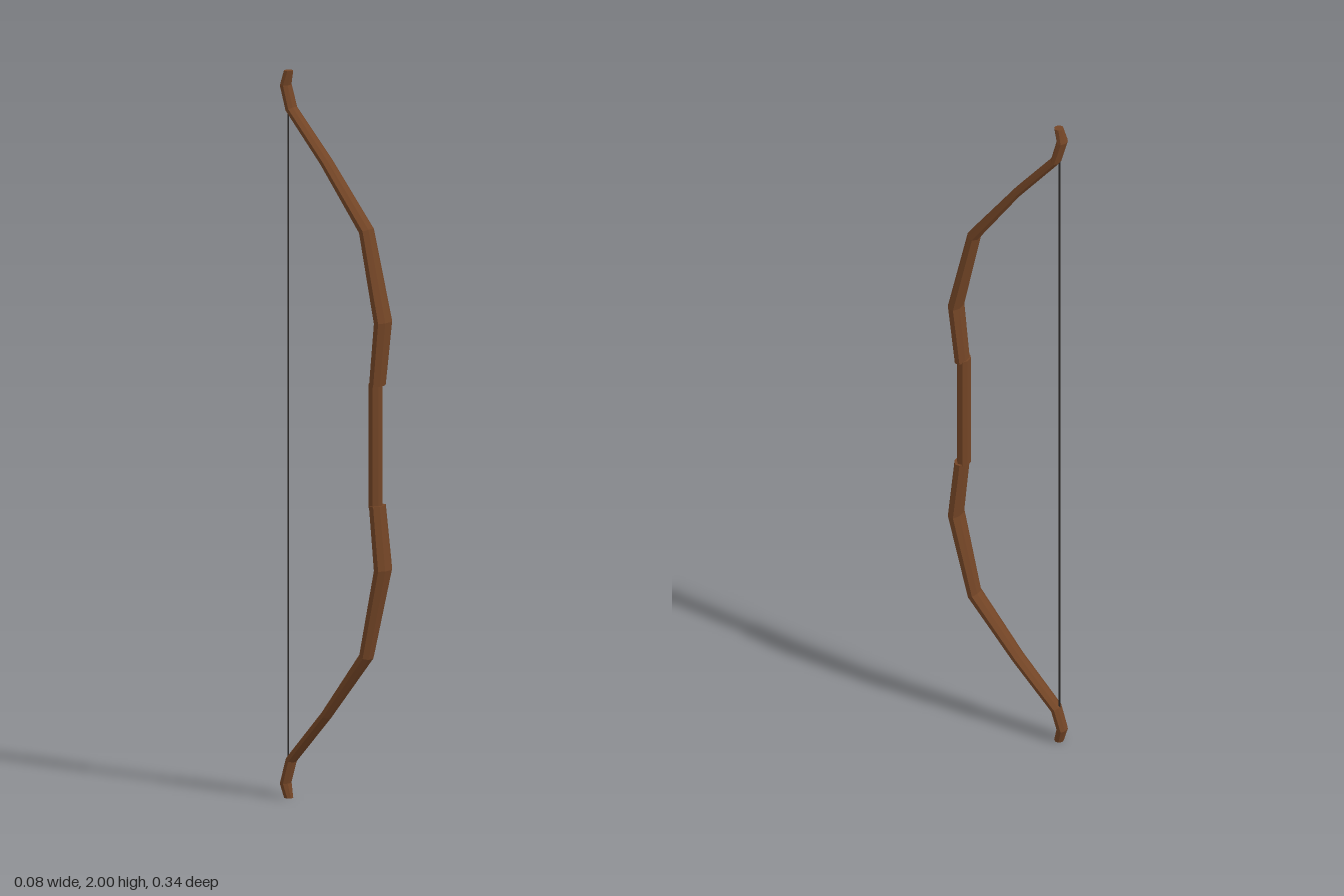
import * as THREE from 'three';

const SIDES = 8;
const wood = new THREE.MeshStandardMaterial({ color: 0x734526, flatShading: true });
const cord = new THREE.MeshStandardMaterial({ color: 0x2a2826 });

// Skins octagonal sections [x, y, z, halfWidth, halfDepth] along a path in the yz plane.
function loft(sections) {
  const pos = [], idx = [], n = sections.length;
  const k = 1 / Math.cos(Math.PI / SIDES);
  sections.forEach(([x, y, z, hw, hd], i) => {
    // Average of the neighbouring directions gives a mitred section; end sections lie flat
    const a = sections[Math.max(i - 1, 0)], b = sections[Math.min(i + 1, n - 1)];
    const end = i === 0 || i === n - 1;
    const dir = (p, q) => new THREE.Vector2(q[1] - p[1], q[2] - p[2]).normalize();
    const t = end ? new THREE.Vector2(1, 0)
      : dir(a, sections[i]).add(dir(sections[i], b)).normalize();
    for (let s = 0; s < SIDES; s++) {
      const ang = (s + 0.5) / SIDES * Math.PI * 2;
      const u = Math.sin(ang) * hw * k, v = Math.cos(ang) * hd * k;
      pos.push(x + u, y - t.y * v, z + t.x * v);
    }
  });
  for (let i = 0; i < n - 1; i++) {
    for (let s = 0; s < SIDES; s++) {
      const a = i * SIDES + s, b = i * SIDES + (s + 1) % SIDES;
      idx.push(a, b, b + SIDES, a, b + SIDES, a + SIDES);
    }
  }
  // End caps
  const last = (n - 1) * SIDES;
  for (let s = 1; s < SIDES - 1; s++) {
    idx.push(0, s + 1, s, last, last + s, last + s + 1);
  }
  const g = new THREE.BufferGeometry();
  g.setAttribute('position', new THREE.Float32BufferAttribute(pos, 3));
  g.setIndex(idx);
  const flat = g.toNonIndexed();
  flat.computeVertexNormals();
  return flat;
}

// Upper limb from the grip out to the recurved tip
const LIMB = [
  [0.004, 1.165, 0.136, 0.028, 0.017],
  [0.007, 1.34, 0.153, 0.031, 0.0175],
  [0.005, 1.585, 0.098, 0.025, 0.016],
  [-0.007, 1.76, -0.029, 0.022, 0.012],
  [-0.016, 1.895, -0.142, 0.020, 0.012],
  [-0.019, 1.96, -0.159, 0.019, 0.013],
  [-0.019, 2.0, -0.149, 0.012, 0.012],
];

export function createModel() {
  const model = new THREE.Group();
  model.name = 'bow';
  const add = (name, geometry, material) => {
    const mesh = new THREE.Mesh(geometry, material);
    mesh.name = name;
    model.add(mesh);
    return mesh;
  };

  // Limbs: the lower one is the upper one reflected about mid height
  add('upperLimb', loft(LIMB), wood);
  const lower = LIMB.map(([x, y, z, w, d]) => [x, 2 - y, z, w, d]).reverse();
  add('lowerLimb', loft(lower), wood);

  // Slimmer grip between the limbs
  add('grip', loft([[0.003, 0.83, 0.131, 0.022, 0.0165], [0.003, 1.17, 0.131, 0.022, 0.0165]]), wood);

  // String stretched between the tips
  const string = add('string', new THREE.CylinderGeometry(0.0025, 0.0025, 1.79, 6), cord);
  string.position.set(-0.018, 1, -0.151);

  return model;
}
